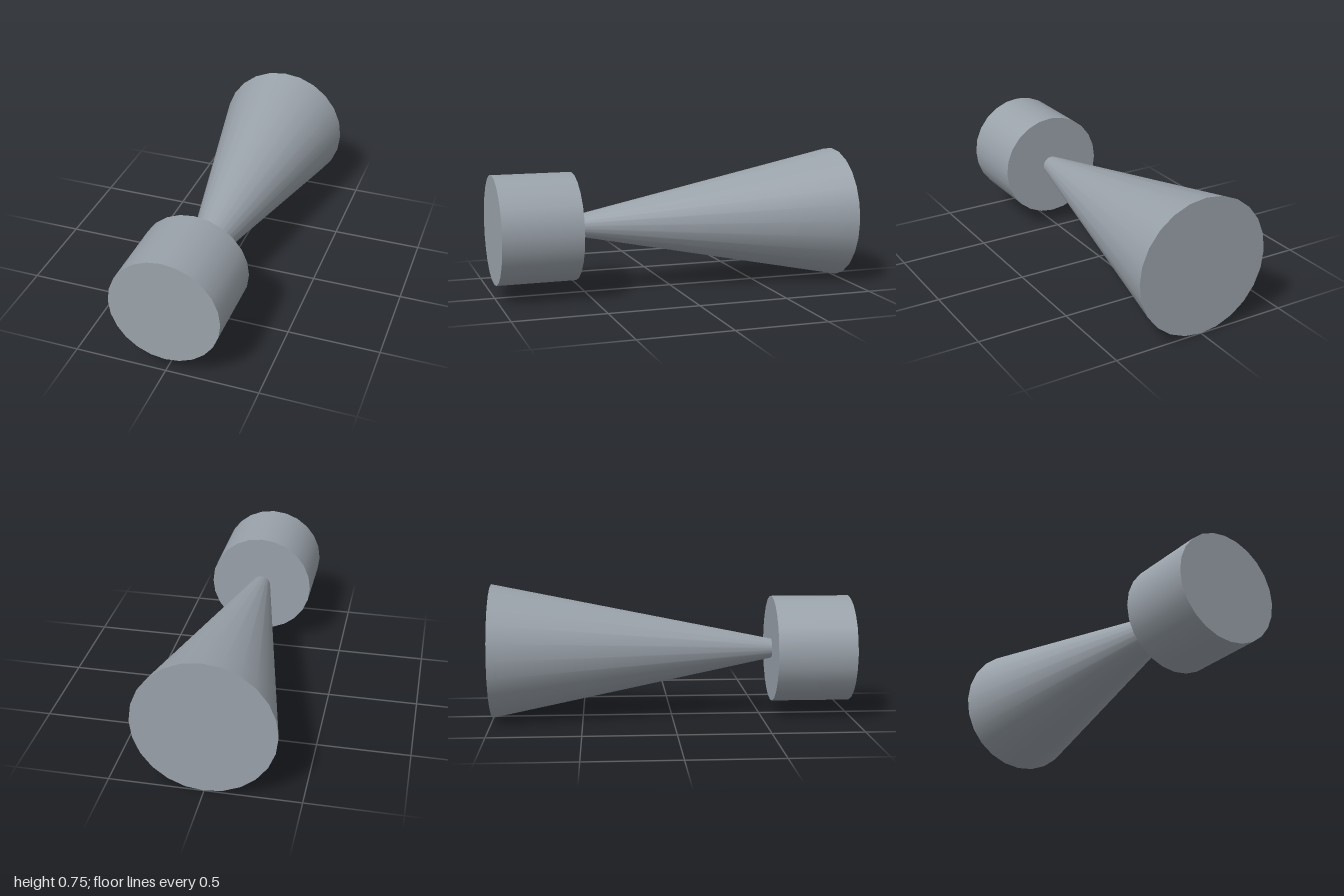
import * as THREE from 'three';

const SIDES = 24;
const AXIS_Y = 0.374;

export function createModel() {
  const model = new THREE.Group();
  model.name = 'model';
  const grey = new THREE.MeshStandardMaterial({ name: 'grey', color: 0x9aa2aa });

  // Round section lying along z, from the back end to the front end
  function addRound(name, backZ, backRadius, frontZ, frontRadius) {
    const geometry = new THREE.CylinderGeometry(frontRadius, backRadius, frontZ - backZ, SIDES);
    geometry.rotateX(Math.PI / 2);
    const mesh = new THREE.Mesh(geometry, grey);
    mesh.name = name;
    mesh.position.set(0, AXIS_Y, (frontZ + backZ) / 2);
    model.add(mesh);
  }

  // Drum at the front
  addRound('drum', 0.565, 0.298, 1, 0.298);

  // Horn tapering forward, its narrow end set slightly into the drum
  addRound('horn', -1, 0.374, 0.585, 0.05);

  return model;
}
